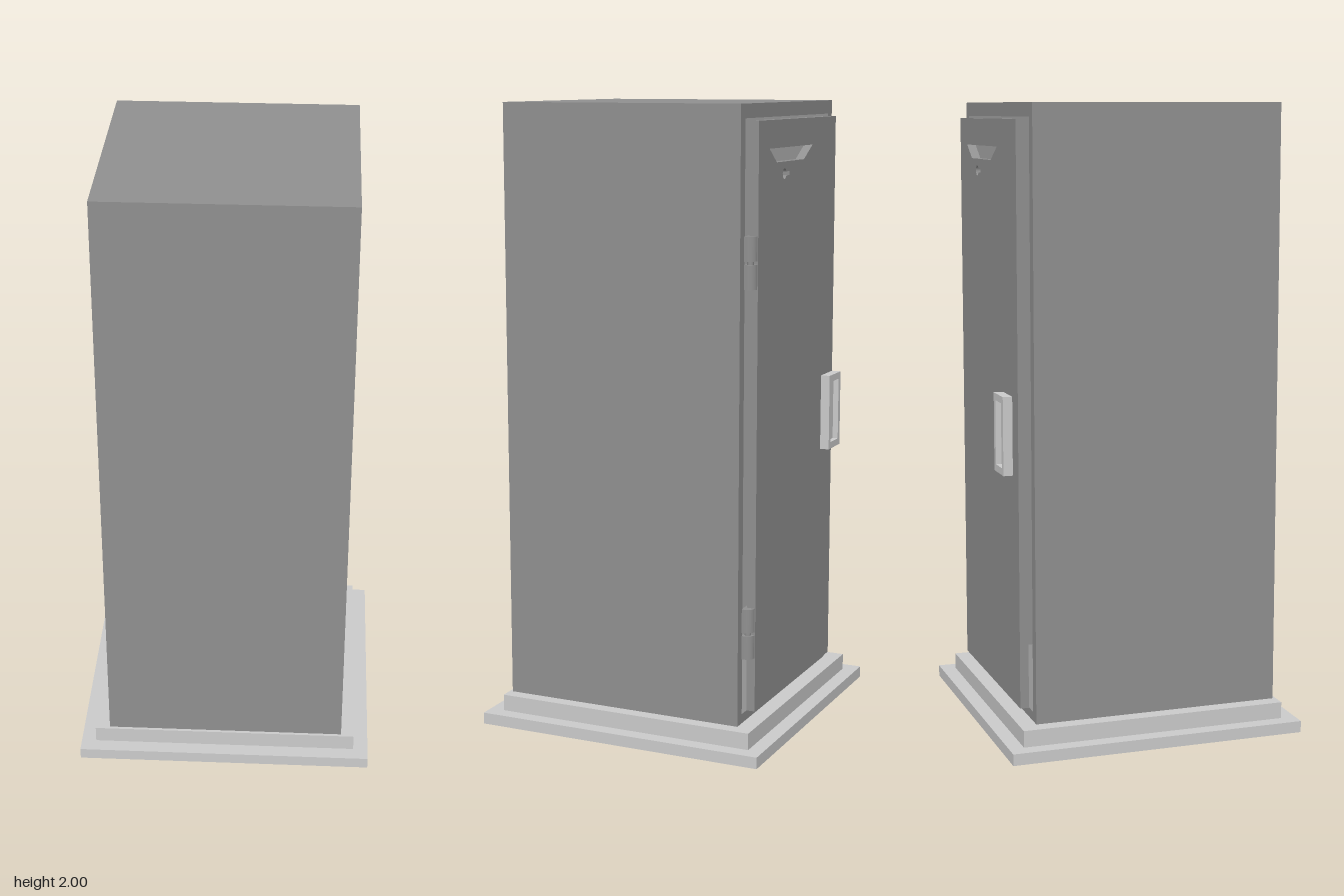
import * as THREE from 'three';

const light = new THREE.MeshStandardMaterial({ color: 0xcccccc });
const dark = new THREE.MeshStandardMaterial({ color: 0x909090 });

// Mesh spanning the given limits on each axis
function block(name, mat, x0, x1, y0, y1, z0, z1) {
  const m = new THREE.Mesh(new THREE.BoxGeometry(x1 - x0, y1 - y0, z1 - z0), mat);
  m.position.set((x0 + x1) / 2, (y0 + y1) / 2, (z0 + z1) / 2);
  m.name = name;
  return m;
}

const polygon = (pts, Type = THREE.Shape) => new Type(pts.map(([x, y]) => new THREE.Vector2(x, y)));
const rect = (x0, x1, y0, y1, Type) => polygon([[x0, y0], [x1, y0], [x1, y1], [x0, y1]], Type);

// Upright plate with holes, between two z limits
function plate(name, mat, shape, holes, z0, z1) {
  shape.holes.push(...holes);
  const geo = new THREE.ExtrudeGeometry(shape, { depth: z1 - z0, bevelEnabled: false, curveSegments: 12 });
  const m = new THREE.Mesh(geo, mat);
  m.position.z = z0;
  m.name = name;
  return m;
}

export function createModel() {
  const group = new THREE.Group();

  // Stepped plinth
  group.add(block('lowerPlinth', light, -0.48, 0.48, 0, 0.037, -0.48, 0.48));
  group.add(block('upperPlinth', light, -0.432, 0.432, 0.037, 0.09, -0.432, 0.432));

  // Hollow cabinet, open behind the door
  const opening = rect(-0.35, 0.355, 0.12, 1.957, THREE.Path);
  group.add(plate('cabinetWalls', dark, rect(-0.385, 0.39, 0.09, 2), [opening], -0.378, 0.385));
  group.add(block('cabinetFront', dark, -0.385, 0.39, 0.09, 2, 0.385, 0.422));

  // Door with a tapered vent and a keyhole
  const vent = polygon([[-0.115, 1.865], [0.25, 1.865], [0.19, 1.822], [-0.04, 1.822]], THREE.Path);
  const keyhole = new THREE.Path();
  keyhole.absarc(0.125, 1.785, 0.016, 0.4, Math.PI * 2 - 0.4, false);
  keyhole.lineTo(0.165, 1.779);
  keyhole.lineTo(0.165, 1.791);
  // Mirrored so that the slot points away from the hinges
  const keyPoints = keyhole.getPoints(12).map(p => [0.25 - p.x, p.y]);
  group.add(plate('door', dark, rect(-0.328, 0.335, 0.127, 1.95),
    [vent, polygon(keyPoints, THREE.Path)], -0.413, -0.385));

  // Hinges: two rounded knuckles each, with a pin between them
  const profile = new THREE.Shape();
  profile.moveTo(0.306, 0.376);
  profile.lineTo(0.306, 0.411);
  profile.lineTo(0.335, 0.411);
  profile.absarc(0.335, 0.386, 0.025, Math.PI / 2, 0, true);
  profile.lineTo(0.36, 0.376);
  for (const y of [0.3, 1.45]) {
    const hinge = new THREE.Group();
    hinge.name = 'hinge';
    for (const [start, height] of [[0, 0.075], [0.085, 0.075]]) {
      const geo = new THREE.ExtrudeGeometry(profile, { depth: height, bevelEnabled: false, curveSegments: 8 });
      geo.rotateX(-Math.PI / 2);
      const knuckle = new THREE.Mesh(geo, dark);
      knuckle.name = 'hingeKnuckle';
      knuckle.position.y = y + start;
      hinge.add(knuckle);
    }
    const pin = new THREE.Mesh(new THREE.CylinderGeometry(0.01, 0.01, 0.15, 12), dark);
    pin.name = 'hingePin';
    pin.position.set(0.343, y + 0.08, -0.392);
    hinge.add(pin);
    group.add(hinge);
  }

  // Recessed handle: rim and a sunken panel
  const handle = new THREE.Group();
  handle.name = 'handle';
  handle.add(plate('handleRim', light, rect(-0.301, -0.196, 0.866, 1.112),
    [rect(-0.283, -0.214, 0.888, 1.09, THREE.Path)], -0.453, -0.423));
  handle.add(block('handlePanel', light, -0.283, -0.214, 0.888, 1.09, -0.435, -0.423));
  group.add(handle);

  return group;
}
